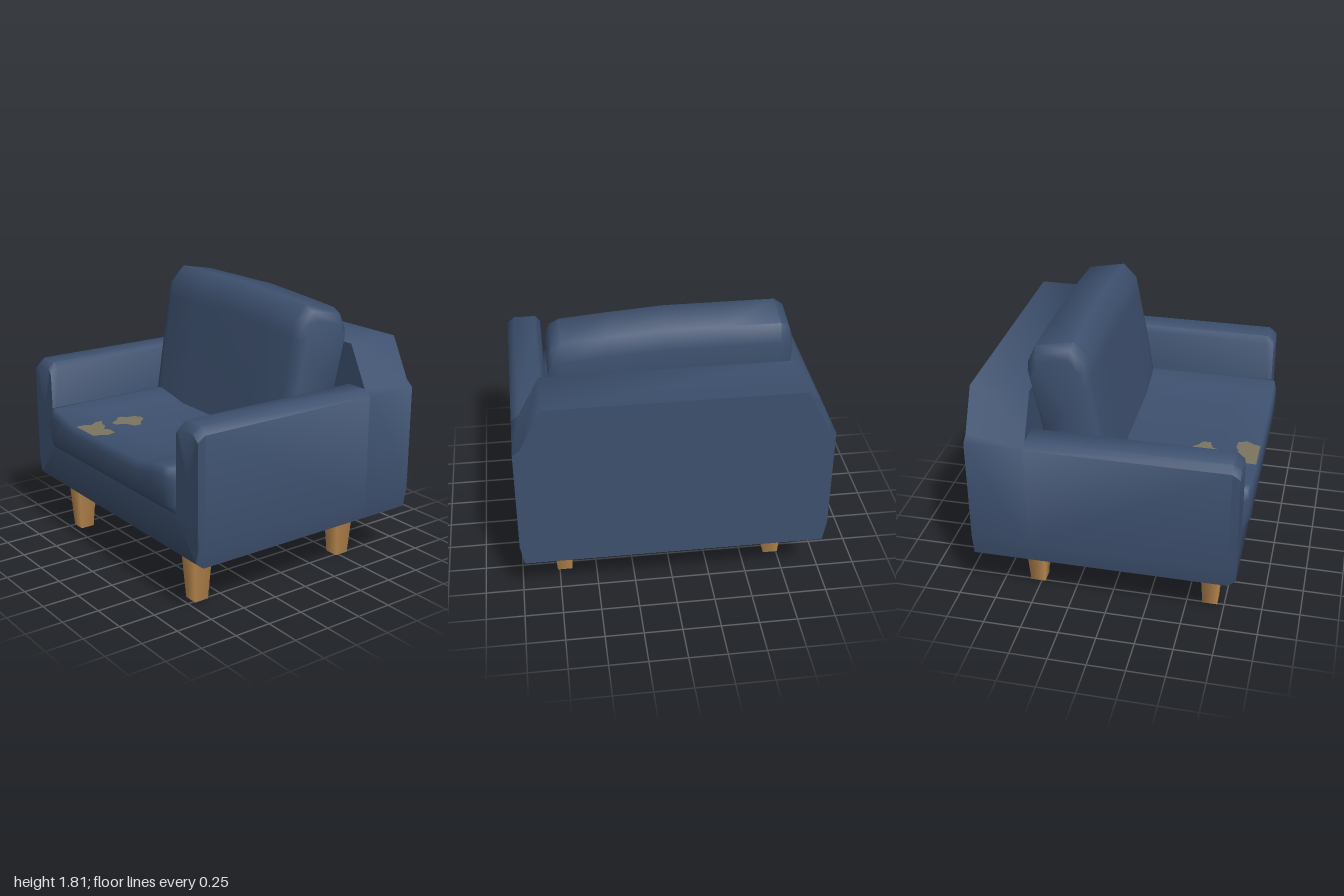
import * as THREE from 'three';
import { toCreasedNormals } from 'three/addons/utils/BufferGeometryUtils.js';

const material = (name, color) => {
  const m = new THREE.MeshStandardMaterial({ color, side: THREE.DoubleSide });
  m.name = name;
  return m;
};

// Skin a list of equal-length point rings; optional end caps fan from the middle.
function loft(rings, { closed = false, caps = [], crease = 0.9 } = {}) {
  const n = rings[0].length;
  const pos = rings.flat(2);
  const index = [];
  for (let i = 0; i < rings.length - 1; i++) {
    for (let j = 0; j < (closed ? n : n - 1); j++) {
      const k = (j + 1) % n;
      const a = i * n + j, b = i * n + k, c = a + n, d = b + n;
      index.push(a, b, d, a, d, c);
    }
  }
  for (const r of caps) {
    const mid = [0, 1, 2].map((c) => rings[r].reduce((s, p) => s + p[c], 0) / n);
    const m = pos.length / 3;
    pos.push(...mid);
    for (let j = 0; j < n; j++) {
      const a = r * n + j, b = r * n + ((j + 1) % n);
      index.push(...(r === 0 ? [m, b, a] : [m, a, b]));
    }
  }
  const g = new THREE.BufferGeometry();
  g.setAttribute('position', new THREE.Float32BufferAttribute(pos, 3));
  g.setIndex(index);
  return toCreasedNormals(g, crease);
}

const mirrored = (points) => [...points, ...points.slice().reverse().map(([x, y]) => [-x, y])];

// Height of the seat top: flat in the middle, rising to the sides.
const seatTop = (x) => 0.88 + 0.05 * THREE.MathUtils.smoothstep(Math.abs(x), 0.38, 0.7);

export function createModel() {
  const chair = new THREE.Group();
  chair.name = 'armchair';
  const fabric = material('blue fabric', 0x3d506e);
  const wood = material('leg wood', 0xbb8950);
  const stain = material('stain', 0x7c7460);
  const add = (name, geometry, mat) => {
    const mesh = new THREE.Mesh(geometry, mat);
    mesh.name = name;
    chair.add(mesh);
    return mesh;
  };

  // Arms: hollow shells, open below, bevelled at the front
  const outer = [[0.975, 0.34], [1, 0.48], [1, 1.19], [0.95, 1.23]];
  const armProfile = [...outer, [0.8, 1.23], [0.765, 1.19], [0.755, 0.62]];
  for (const side of [-1, 1]) {
    const ring = (z, dx, dy) => armProfile.map(([x, y]) => [
      side * (0.875 + (x - 0.875) * dx),
      y > 1 ? y - dy : y < 0.4 ? y + dy : y,
      z,
    ]);
    const rings = [ring(-0.5, 1, 0), ring(0.79, 1, 0), ring(0.84, 0.95, 0.04)];
    add(side > 0 ? 'leftArm' : 'rightArm', loft(rings, { caps: [2] }), fabric);
  }

  // Front rail with a bevelled lower edge
  add('frontRail', loft([[0.79, 0.34, 0.975], [0.84, 0.38, 0.97], [0.84, 0.63, 0.97], [0.8, 0.65, 0.76]]
    .map(([z, y, w]) => [[-w, y, z], [0, y, z], [w, y, z]])), fabric);

  // Back block: carries on from the arms, sloping shoulders, open below
  const outline = mirrored([...outer, [0.81, 1.5]]);
  const at = (z) => outline.map(([x, y]) => [x, y, z]);
  add('backBlock', loft([at(-0.88), at(-0.5)], { caps: [0], crease: 1.2 }), fabric);
  const face = mirrored([[0.76, 0.62], [0.76, 1.2], [0.95, 1.23], [0.81, 1.5]]);
  const faceShape = new THREE.Shape(face.map(([x, y]) => new THREE.Vector2(x, y)));
  add('backBlockFace', new THREE.ShapeGeometry(faceShape).translate(0, 0, -0.5), fabric);

  // Seat cushion: saddle-shaped top over a flat underside
  const columns = [-0.765, -0.745, -0.69, -0.55, -0.4, 0, 0.4, 0.55, 0.68, 0.73, 0.765];
  const seatRing = (x) => {
    const end = Math.abs(x) > 0.75 ? 1 : Math.abs(x) > 0.71 ? 0.4 : 0;
    const top = seatTop(x) - 0.03 * end;
    const front = -0.045 * end;
    return [[-0.5, 0.63], [0.84, 0.63], [0.885 + front, 0.68], [0.887 + front, top - 0.06],
      [0.872 + front, top], [0.62, top], [-0.5, top]].map(([z, y]) => [x, y, z]);
  };
  add('seatCushion', loft(columns.map(seatRing), { closed: true, caps: [0, columns.length - 1], crease: 1.4 }), fabric);

  // Back cushion: leaning pillow, slightly lower on its left shoulder
  const pillow = [[-0.015, 0.87], [-0.07, 1.23], [-0.13, 1.6], [-0.15, 1.72], [-0.24, 1.81],
    [-0.48, 1.765], [-0.53, 1.65], [-0.45, 1.23], [-0.38, 0.87]];
  const pillowRing = ([x, drop, inset]) => pillow.map(([z, y]) => {
    const t = THREE.MathUtils.clamp((y - 0.87) / 0.85, 0, 1);
    const axis = -0.195 - 0.16 * t;
    return [x + (x < 0 ? -0.005 : 0.005) * t, y - (drop + inset) * t * t, axis + (z - axis) * (1 - inset * 2.2)];
  });
  const stations = [[-0.775, 0.01, 0.08], [-0.755, 0.005, 0.03], [-0.7, 0, 0], [-0.35, 0, 0], [0, 0, 0],
    [0.35, 0.025, 0], [0.65, 0.05, 0], [0.715, 0.055, 0.025], [0.745, 0.06, 0.08]];
  add('backCushion', loft(stations.map(pillowRing), { closed: true, caps: [0, stations.length - 1], crease: 1 }), fabric);

  // Stains: thin patches on the seat top, soaked through further back underneath
  const patches = [
    [[-0.31, 0.4], [-0.26, 0.41], [-0.22, 0.46], [-0.17, 0.49], [-0.17, 0.54], [-0.23, 0.56], [-0.27, 0.63],
      [-0.31, 0.635], [-0.35, 0.57], [-0.39, 0.54], [-0.39, 0.51], [-0.36, 0.48], [-0.35, 0.43]],
    [[-0.39, 0.66], [-0.35, 0.69], [-0.28, 0.705], [-0.24, 0.74], [-0.2, 0.715], [-0.13, 0.72], [-0.11, 0.78],
      [-0.14, 0.83], [-0.15, 0.87], [-0.38, 0.87], [-0.38, 0.81], [-0.35, 0.77], [-0.39, 0.72]],
  ];
  patches.forEach((points, i) => {
    const shape = new THREE.Shape(points.map(([x, z]) => new THREE.Vector2(x, -z)));
    for (const [place, y, z] of [['Top', 0.884, 0], ['Underside', 0.626, -0.18]]) {
      const g = new THREE.ShapeGeometry(shape).rotateX(-Math.PI / 2).translate(0, y, z);
      add(`stain${i + 1}${place}`, g, stain);
    }
  });

  // Tapered square legs
  for (const x of [-0.71, 0.715]) {
    for (const z of [0.655, -0.525]) {
      const g = new THREE.CylinderGeometry(0.102, 0.07, 0.36, 4).rotateY(Math.PI / 4);
      add(z > 0 ? 'frontLeg' : 'backLeg', g, wood).position.set(x, 0.18, z);
    }
  }
  return chair;
}
